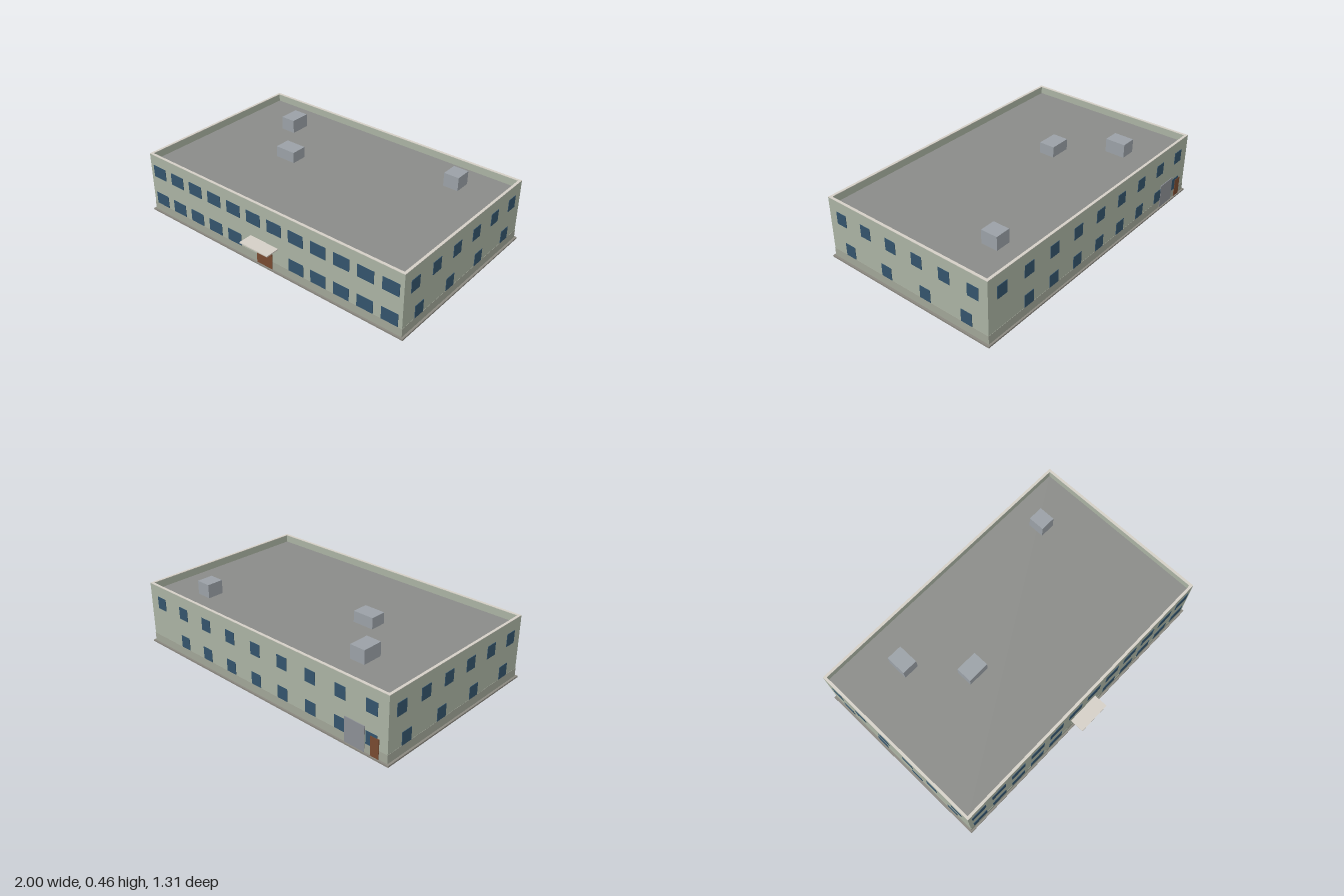
import * as THREE from 'three';

const material = (color) => new THREE.MeshStandardMaterial({ color });

export function createModel() {
  const model = new THREE.Group();
  model.name = 'officeBuilding';

  const mats = {
    wall: material(0xa9b2a2), plinth: material(0xa0a597), glass: material(0x33536b),
    door: material(0x774a30), roof: material(0x8a8b88), unit: material(0x9aa0a6),
    trim: material(0xd4cfc6), slab: material(0x8a877f), shutter: material(0x8b8e94),
  };

  // Footprint of the walls
  const W = 1.97, D = 1.206, ZC = -0.041;
  const front = ZC + D / 2, back = ZC - D / 2, side = W / 2;
  const thick = 0.017, roofY = 0.37, topY = 0.42;

  // Box given by its limits on each axis
  function block(name, mat, [x0, x1], [y0, y1], [z0, z1], parent = model) {
    const mesh = new THREE.Mesh(new THREE.BoxGeometry(x1 - x0, y1 - y0, z1 - z0), mat);
    mesh.position.set((x0 + x1) / 2, (y0 + y1) / 2, (z0 + z1) / 2);
    mesh.name = name;
    parent.add(mesh);
  }

  // Hollow rectangular ring standing between two heights
  function ring(name, mat, y0, y1, grow, t) {
    const w = W / 2 + grow, d = D / 2 + grow;
    const rect = (P, a, b) => new P([[-a, -b], [a, -b], [a, b], [-a, b]].map(p => new THREE.Vector2(...p)));
    const shape = rect(THREE.Shape, w, d);
    shape.holes.push(rect(THREE.Path, w - t, d - t));
    const geo = new THREE.ExtrudeGeometry(shape, { depth: y1 - y0, bevelEnabled: false });
    geo.rotateX(-Math.PI / 2);
    const mesh = new THREE.Mesh(geo, mat);
    mesh.position.set(0, y0, ZC);
    mesh.name = name;
    model.add(mesh);
  }

  // Ground slab, walls with parapet, and roof
  block('groundSlab', mats.slab, [-1, 1], [0, 0.01], [back - 0.013, front + 0.013]);
  ring('walls', mats.wall, 0.01, topY - 0.003, 0, thick);
  ring('parapetCap', mats.trim, topY - 0.003, topY, 0, thick);
  ring('plinth', mats.plinth, 0.01, 0.065, 0.0015, 0.01);
  block('roof', mats.roof, [-side + thick, side - thick], [roofY - 0.02, roofY], [back + thick, front - thick]);

  // Windows: evenly spaced rows, one per storey and facade
  const storeys = { lower: [0.066, 0.148], upper: [0.264, 0.345] };
  const proud = 0.003;
  function windowRow(facade, storey, count, width, skip = []) {
    const row = new THREE.Group();
    row.name = `${facade}${storey === 'lower' ? 'Lower' : 'Upper'}Windows`;
    const long = facade === 'front' || facade === 'back';
    const length = long ? W : D;
    for (let i = 0; i < count; i++) {
      if (skip.includes(i)) continue;
      const c = (long ? 0 : ZC) - length / 2 + (i + 0.5) * length / count;
      const along = [c - width / 2, c + width / 2];
      const plane = { front, back, left: side, right: -side }[facade];
      const across = [plane - proud, plane + proud];
      block('window', mats.glass, long ? along : across, storeys[storey], long ? across : along, row);
    }
    model.add(row);
  }
  windowRow('front', 'upper', 12, 0.11);
  windowRow('front', 'lower', 12, 0.11, [5, 6]);
  windowRow('back', 'upper', 9, 0.077);
  windowRow('back', 'lower', 9, 0.077, [8]);
  for (const facade of ['left', 'right']) {
    windowRow(facade, 'upper', 6, 0.078);
    windowRow(facade, 'lower', 4, 0.078);
  }

  // Entrance with canopy
  block('frontDoor', mats.door, [-0.061, 0.061], [0.01, 0.15], [front - 0.005, front + 0.005]);
  block('canopy', mats.trim, [-0.11, 0.11], [0.169, 0.177], [front, 0.656]);

  // Service entrances at the back
  block('loadingShutter', mats.shutter, [-0.83, -0.69], [0.01, 0.17], [back - 0.005, back + 0.005]);
  block('backDoor', mats.door, [-0.928, -0.872], [0.01, 0.132], [back - 0.006, back + 0.005]);

  // Rooftop units
  block('roofUnit', mats.unit, [-0.643, -0.541], [roofY, 0.459], [-0.44, -0.305]);
  block('roofUnit', mats.unit, [-0.405, -0.262], [roofY, 0.442], [-0.098, 0.007]);
  block('roofUnit', mats.unit, [0.614, 0.715], [roofY, 0.459], [-0.472, -0.363]);

  return model;
}
